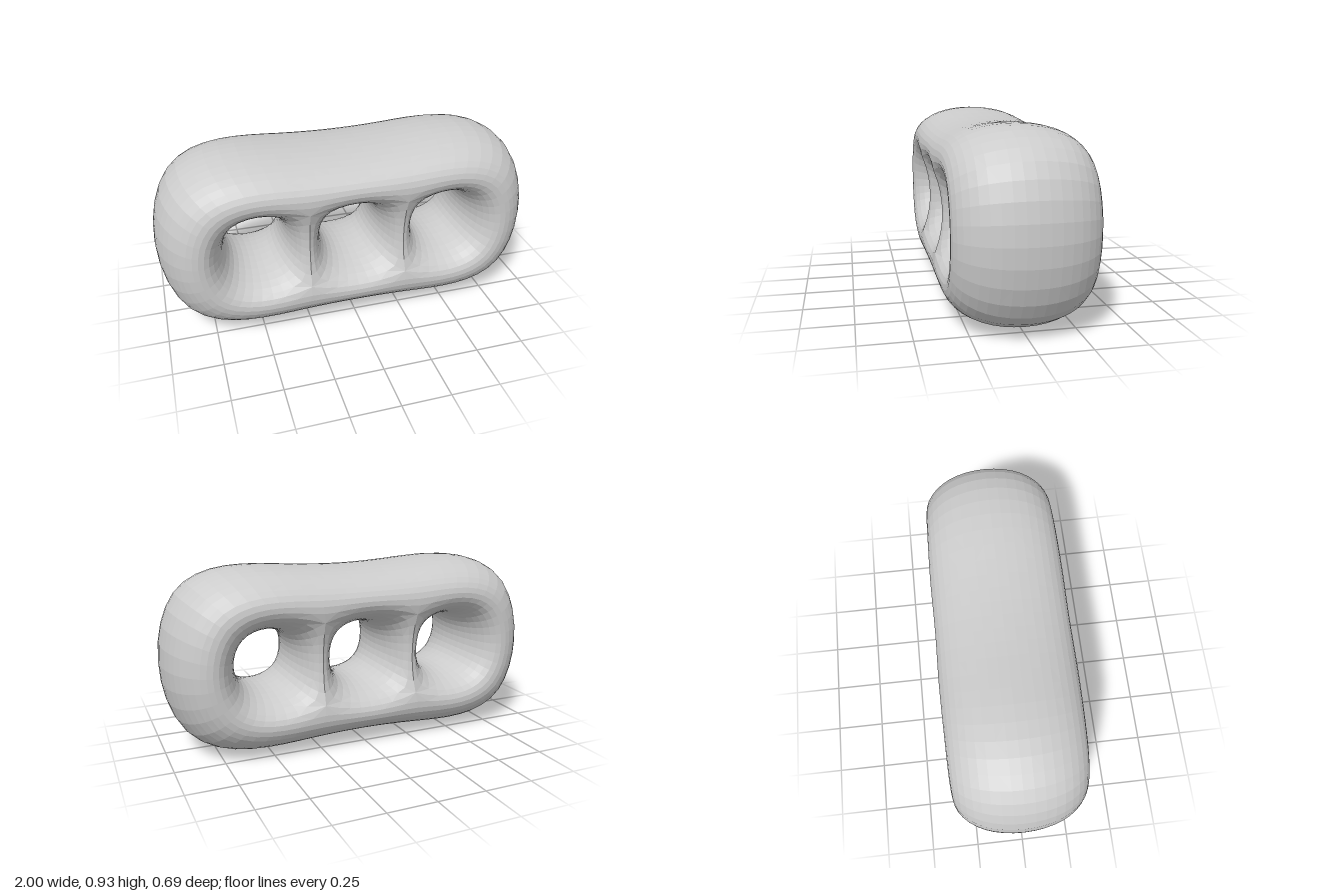
import * as THREE from 'three';

// One Catmull-Clark step on a closed quad mesh
function subdivide({ points, quads }) {
  const avg = (list) => list.reduce((s, p) => s.add(p), new THREE.Vector3()).divideScalar(list.length);
  const out = [];
  const edges = new Map();
  const around = points.map(() => ({ faces: [], mids: [] }));
  const edgeKey = (a, b) => Math.min(a, b) + '_' + Math.max(a, b);

  const faceIds = quads.map((q) => {
    const f = avg(q.map((i) => points[i]));
    q.forEach((a, j) => {
      const b = q[(j + 1) % 4];
      const k = edgeKey(a, b);
      if (!edges.has(k)) edges.set(k, { a, b, faces: [] });
      edges.get(k).faces.push(f);
      around[a].faces.push(f);
    });
    return out.push(f) - 1;
  });

  for (const e of edges.values()) {
    const ends = [points[e.a], points[e.b]];
    const mid = avg(ends);
    around[e.a].mids.push(mid);
    around[e.b].mids.push(mid);
    e.id = out.push(avg([...ends, ...e.faces])) - 1;
  }

  const vertexIds = points.map((p, i) => {
    const n = around[i].faces.length;
    const v = avg(around[i].faces)
      .addScaledVector(avg(around[i].mids), 2)
      .addScaledVector(p, n - 3)
      .divideScalar(n);
    return out.push(v) - 1;
  });

  const next = [];
  quads.forEach((q, f) => q.forEach((a, j) => {
    const after = edges.get(edgeKey(a, q[(j + 1) % 4])).id;
    const before = edges.get(edgeKey(q[(j + 3) % 4], a)).id;
    next.push([vertexIds[a], after, faceIds[f], before]);
  }));
  return { points: out, quads: next };
}

// Coarse cage: outer skin, flared rims on both faces, narrow waists at z = 0
function buildCage() {
  const points = [], quads = [], ids = new Map();
  const centreY = 0.466;
  const vert = (p) => {
    const k = p.join();
    if (!ids.has(k)) ids.set(k, points.push(new THREE.Vector3(p[0], p[1] + centreY, p[2])) - 1);
    return ids.get(k);
  };
  const quad = (corners, flip) => {
    const q = corners.map(vert);
    quads.push(flip ? q.reverse() : q);
  };

  const outerX = [-1.041, -0.25, 0.25, 1.041];
  const outerY = [0.542, 0.445, 0.445, 0.542];
  const rimX = [-0.75, -0.25, 0.25, 0.75];
  const outerZ = 0.25, rimZ = 0.425, rimY = 0.25, waist = 0.125;

  for (const side of [1, -1]) {
    const flip = side < 0;
    const outer = (i, up) => [outerX[i], up * outerY[i], side * outerZ];
    const rim = (i, up) => [rimX[i], up * rimY, side * rimZ];

    for (let i = 0; i < 3; i++) {
      // border above and below each opening
      quad([outer(i, -1), outer(i + 1, -1), rim(i + 1, -1), rim(i, -1)], flip);
      quad([rim(i, 1), rim(i + 1, 1), outer(i + 1, 1), outer(i, 1)], flip);
      // funnel from rim to waist
      const cx = (rimX[i] + rimX[i + 1]) / 2;
      const ring = [rim(i, -1), rim(i + 1, -1), rim(i + 1, 1), rim(i, 1)];
      const neck = [[-1, -1], [1, -1], [1, 1], [-1, 1]].map(([x, y]) => [cx + x * waist, y * waist, 0]);
      for (let j = 0; j < 4; j++) {
        const k = (j + 1) % 4;
        quad([ring[j], ring[k], neck[k], neck[j]], flip);
      }
    }
    // borders at the two ends
    quad([outer(3, -1), outer(3, 1), rim(3, 1), rim(3, -1)], flip);
    quad([outer(0, 1), outer(0, -1), rim(0, -1), rim(0, 1)], flip);
  }

  // outer skin joining front and back
  const loop = [0, 1, 2, 3].map((i) => [outerX[i], -outerY[i]])
    .concat([3, 2, 1, 0].map((i) => [outerX[i], outerY[i]]));
  loop.forEach((p, j) => {
    const q = loop[(j + 1) % loop.length];
    quad([[...p, outerZ], [...p, -outerZ], [...q, -outerZ], [...q, outerZ]], false);
  });
  return { points, quads };
}

export function createModel() {
  let mesh = buildCage();
  for (let i = 0; i < 3; i++) mesh = subdivide(mesh);

  const geometry = new THREE.BufferGeometry().setFromPoints(mesh.points);
  geometry.setIndex(mesh.quads.flatMap(([a, b, c, d]) => [a, b, c, a, c, d]));
  geometry.computeVertexNormals();

  const body = new THREE.Mesh(
    geometry,
    new THREE.MeshStandardMaterial({ color: 0xcccccc, flatShading: true })
  );
  body.name = 'threeHoleBody';

  const group = new THREE.Group();
  group.name = 'threeHoleBlock';
  group.add(body);
  return group;
}
